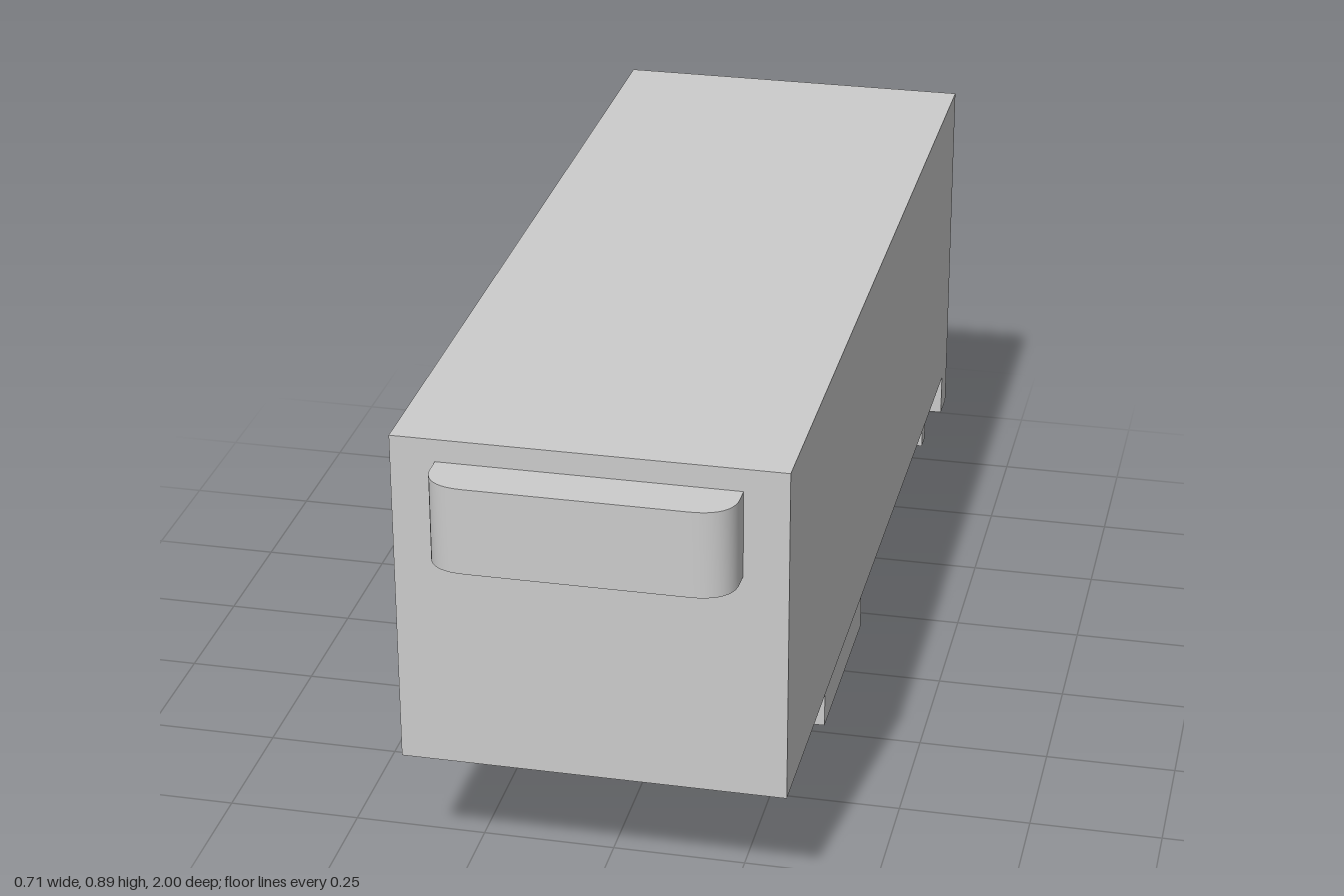
import * as THREE from 'three';
import { toCreasedNormals } from 'three/addons/utils/BufferGeometryUtils.js';

const material = new THREE.MeshStandardMaterial({ color: 0xcccccc });

export function createModel() {
  const model = new THREE.Group();
  model.name = 'boxTrailer';

  const add = (name, geometry) => {
    const mesh = new THREE.Mesh(geometry, material);
    mesh.name = name;
    model.add(mesh);
    return mesh;
  };

  // Box given by its lower and upper limits on each axis
  const box = (name, x0, x1, y0, y1, z0, z1) => {
    const mesh = add(name, new THREE.BoxGeometry(x1 - x0, y1 - y0, z1 - z0));
    mesh.position.set((x0 + x1) / 2, (y0 + y1) / 2, (z0 + z1) / 2);
  };

  // Side profile in (z, y), extruded symmetrically across x
  const sideProfile = (name, points, halfWidth) => {
    const shape = new THREE.Shape(points.map(([z, y]) => new THREE.Vector2(-z, y)));
    const geometry = new THREE.ExtrudeGeometry(shape, { depth: halfWidth * 2, bevelEnabled: false });
    geometry.translate(0, 0, -halfWidth);
    geometry.rotateY(Math.PI / 2);
    add(name, geometry);
  };

  // Cargo body with the rear skirt hanging below the floor
  sideProfile('cargoBody', [
    [0.905, 0.25], [-0.915, 0.25], [-0.915, 0.165], [-0.98, 0.165], [-0.98, 0.898], [0.905, 0.898],
  ], 0.357);

  // Cooling unit with rounded vertical corners on the front wall
  const plan = new THREE.Shape();
  plan.moveTo(-0.275, -0.905);
  plan.lineTo(-0.275, -0.935);
  plan.bezierCurveTo(-0.275, -0.975, -0.25, -1, -0.2, -1);
  plan.lineTo(0.2, -1);
  plan.bezierCurveTo(0.25, -1, 0.275, -0.975, 0.275, -0.935);
  plan.lineTo(0.275, -0.905);
  const unit = new THREE.ExtrudeGeometry(plan, { depth: 0.165, bevelEnabled: false, curveSegments: 10 });
  unit.rotateX(-Math.PI / 2);
  unit.translate(0, 0.69, 0);
  add('coolingUnit', toCreasedNormals(unit, 0.6));

  // Underfloor storage box and its mount
  box('storageMount', -0.185, 0.185, 0.148, 0.25, -0.135, 0.2);
  box('storageBox', -0.307, 0.307, 0.013, 0.148, -0.175, 0.24);

  // Axle housing: wide top frame tapering to a flat bottom
  sideProfile('axleHousing', [
    [-0.245, 0.25], [-0.245, 0.18], [-0.317, 0.18], [-0.33, 0.003],
    [-0.79, 0.003], [-0.803, 0.18], [-0.885, 0.18], [-0.885, 0.25],
  ], 0.24);

  // Rear underrun bar
  box('underrunBar', -0.315, 0.315, 0.072, 0.112, -0.965, -0.925);

  // Paired parts on both sides
  for (const s of [-1, 1]) {
    const pair = (name, inner, outer, ...limits) =>
      box(name, Math.min(s * inner, s * outer), Math.max(s * inner, s * outer), ...limits);
    pair('underrunPost', 0.135, 0.165, 0.112, 0.165, -0.965, -0.925);
    pair('rearLight', 0.222, 0.325, 0.18, 0.225, -1, -0.98);
    for (const z of [-0.4, -0.715]) pair('axleStub', 0.24, 0.28, 0.012, 0.052, z - 0.02, z + 0.02);
  }

  return model;
}
